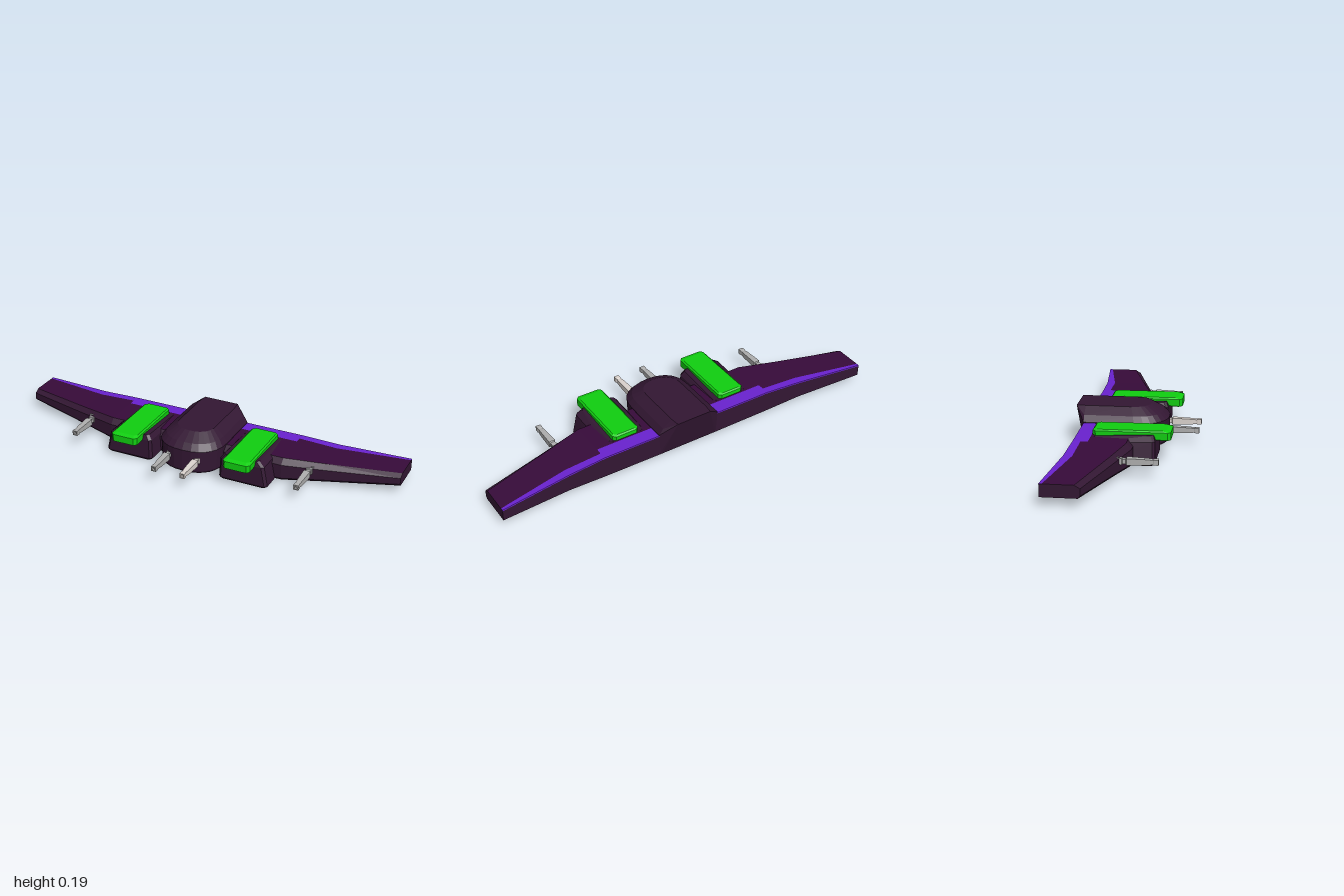
import * as THREE from 'three';
import { ConvexGeometry } from 'three/addons/geometries/ConvexGeometry.js';

const material = (color) =>
  new THREE.MeshStandardMaterial({ color, flatShading: true, side: THREE.DoubleSide });
const hullMat = material(0x331733);
const panelMat = material(0x370b3a);
const trimMat = material(0x6a22d0);
const greenMat = material(0x10d010);
const gunMat = material(0xb0b0b0);
const paleGunMat = material(0xddd5d0);

function addMesh(parent, name, geometry, mat) {
  const mesh = new THREE.Mesh(geometry, mat);
  mesh.name = name;
  parent.add(mesh);
  return mesh;
}

// Skin rows of [x, y, z] points running along +x; closed rows also get end caps
function loft(rows, closed) {
  const n = rows[0].length;
  const index = [];
  for (let i = 0; i < rows.length - 1; i++) {
    for (let j = 0; j < (closed ? n : n - 1); j++) {
      const a = i * n + j, b = i * n + (j + 1) % n;
      index.push(a, a + n, b, b, a + n, b + n);
    }
  }
  if (closed) {
    const last = (rows.length - 1) * n;
    for (let j = 1; j < n - 1; j++) index.push(0, j, j + 1, last, last + j + 1, last + j);
  }
  const geometry = new THREE.BufferGeometry();
  geometry.setAttribute('position', new THREE.Float32BufferAttribute(rows.flat(2), 3));
  geometry.setIndex(index);
  const flat = geometry.toNonIndexed();
  flat.computeVertexNormals();
  return flat;
}

// Wing stations from root to tip: front z, rear z, bottom y, top y, trim front z
const half = [
  { x: 0.16, zf: 0.02, zr: -0.25, yb: 0.007, yt: 0.12, zs: -0.18 },
  { x: 0.458, zf: 0.02, zr: -0.25, yb: 0.01, yt: 0.12, zs: -0.18 },
  { x: 0.46, zf: 0.02, zr: -0.25, yb: 0.01, yt: 0.12, zs: -0.213 },
  { x: 0.65, zf: -0.03, zr: -0.258, yb: 0.023, yt: 0.111, zs: -0.217 },
  { x: 1, zf: -0.122, zr: -0.295, yb: 0.043, yt: 0.101, zs: -0.281 },
];
const stations = [...half.map((s) => ({ ...s, x: -s.x })).reverse(), ...half];

function addWing(parent) {
  const bevel = 0.025, lift = 0.0015;
  addMesh(parent, 'wing', loft(stations.map(({ x, zf, zr, yb, yt }) => [
    [x, yb, zf - 0.01], [x, yb + 0.012, zf], [x, yb + (yt - yb) * 0.75, zf],
    [x, yt, zf - bevel], [x, yt, zr], [x, yb, zr],
  ]), true), hullMat);
  addMesh(parent, 'wingTopPanel', loft(stations.map(({ x, zf, yt, zs }) => [
    [x, yt + lift, zf - bevel], [x, yt + lift, zs],
  ]), false), panelMat);
  addMesh(parent, 'trailingEdgeTrim', loft(stations.map(({ x, zr, yt, zs }) => [
    [x, yt + lift, zs], [x, yt + lift, zr], [x, yt - 0.004, zr - 0.001],
  ]), false), trimMat);
}

// Central body: rounded-nose outlines stacked in height
function addFuselage(parent) {
  const layers = [
    // y, half width, nose z, rear z, rear half width
    [0.007, 0.15, 0.138, -0.25, 0.15],
    [0.02, 0.158, 0.146, -0.25, 0.158],
    [0.125, 0.165, 0.147, -0.25, 0.165],
    [0.155, 0.143, 0.12, -0.272, 0.115],
    [0.189, 0.095, 0.06, -0.295, 0.09],
  ];
  const points = [];
  for (const [y, w, nose, rear, rw] of layers) {
    const depth = w * 0.95;
    for (let i = 0; i <= 14; i++) {
      const a = (i / 14) * Math.PI;
      const c = Math.cos(a), s = Math.sin(a);
      points.push(new THREE.Vector3(
        w * Math.sign(c) * Math.abs(c) ** 0.85, y, nose - depth + depth * s ** 0.85));
    }
    points.push(new THREE.Vector3(rw, y, rear), new THREE.Vector3(-rw, y, rear));
    if (y > 0.15) points.push(new THREE.Vector3(w, y, -0.25), new THREE.Vector3(-w, y, -0.25));
  }
  addMesh(parent, 'fuselage', new ConvexGeometry(points), hullMat);
}

// Chamfered block on one side; layers are [yFront, yRear, x0, x1, zFront, zRear]
function chamferedBlock(side, layers, c) {
  const points = [];
  for (const [yf, yr, x0, x1, zf, zr] of layers) {
    const corners = [
      [x0 + c, zf], [x1 - c, zf], [x1, zf - c], [x1, zr + c],
      [x1 - c, zr], [x0 + c, zr], [x0, zr + c], [x0, zf - c],
    ];
    for (const [x, z] of corners) {
      points.push(new THREE.Vector3(side * x, yr + (yf - yr) * (z - zr) / (zf - zr), z));
    }
  }
  return new ConvexGeometry(points);
}

function addPod(parent, side) {
  const pod = new THREE.Group();
  pod.name = side > 0 ? 'leftPod' : 'rightPod';
  addMesh(pod, 'podHousing', chamferedBlock(side, [
    [0.003, 0.003, 0.19, 0.42, 0.112, -0.01],
    [0.014, 0.014, 0.18, 0.43, 0.12, -0.15],
    [0.112, 0.105, 0.185, 0.41, 0.118, -0.16],
    [0.136, 0.122, 0.202, 0.382, 0.108, -0.17],
  ], 0.012), hullMat);
  addMesh(pod, 'greenPanel', chamferedBlock(side, [
    [0.105, 0.12, 0.234, 0.36, 0.18, -0.17],
    [0.109, 0.124, 0.228, 0.366, 0.187, -0.175],
    [0.145, 0.145, 0.228, 0.366, 0.187, -0.175],
    [0.152, 0.151, 0.236, 0.358, 0.165, -0.168],
  ], 0.014), greenMat);
  parent.add(pod);
}

// Square tapered barrel with a hollow muzzle, neck and breech; half sizes along z
function addGun(parent, name, x, y, muzzleZ, mat, mounted) {
  const gun = new THREE.Group();
  gun.name = name;
  const profile = [
    [0, -0.19], [0.014, -0.19], [0.014, -0.163], [0.011, -0.16], [0.011, -0.146],
    [0.0155, -0.142], [0.0155, -0.122], [0.013, -0.05], [0.0105, -0.025],
    [0.0125, -0.02], [0.0125, 0], [0.007, 0], [0.007, -0.015], [0, -0.015],
  ].map(([r, z]) => new THREE.Vector2(r * Math.SQRT2, z));
  const barrel = new THREE.LatheGeometry(profile, 4);
  barrel.rotateY(Math.PI / 4);
  barrel.rotateX(Math.PI / 2);
  addMesh(gun, 'barrel', barrel, mat);
  if (mounted) {
    addMesh(gun, 'mount', new THREE.BoxGeometry(0.034, 0.036, 0.014), mat)
      .position.set(0, 0.002, -0.186);
  }
  gun.position.set(x, y, muzzleZ);
  parent.add(gun);
}

export function createModel() {
  const model = new THREE.Group();
  model.name = 'flyingWingCraft';
  addWing(model);
  addFuselage(model);
  for (const side of [1, -1]) {
    const label = side > 0 ? 'left' : 'right';
    addPod(model, side);
    addGun(model, label + 'NoseGun', side * 0.075, 0.079, 0.296, side > 0 ? paleGunMat : gunMat, false);
    addGun(model, label + 'WingGun', side * 0.59, 0.079, 0.157, gunMat, true);
  }
  return model;
}
